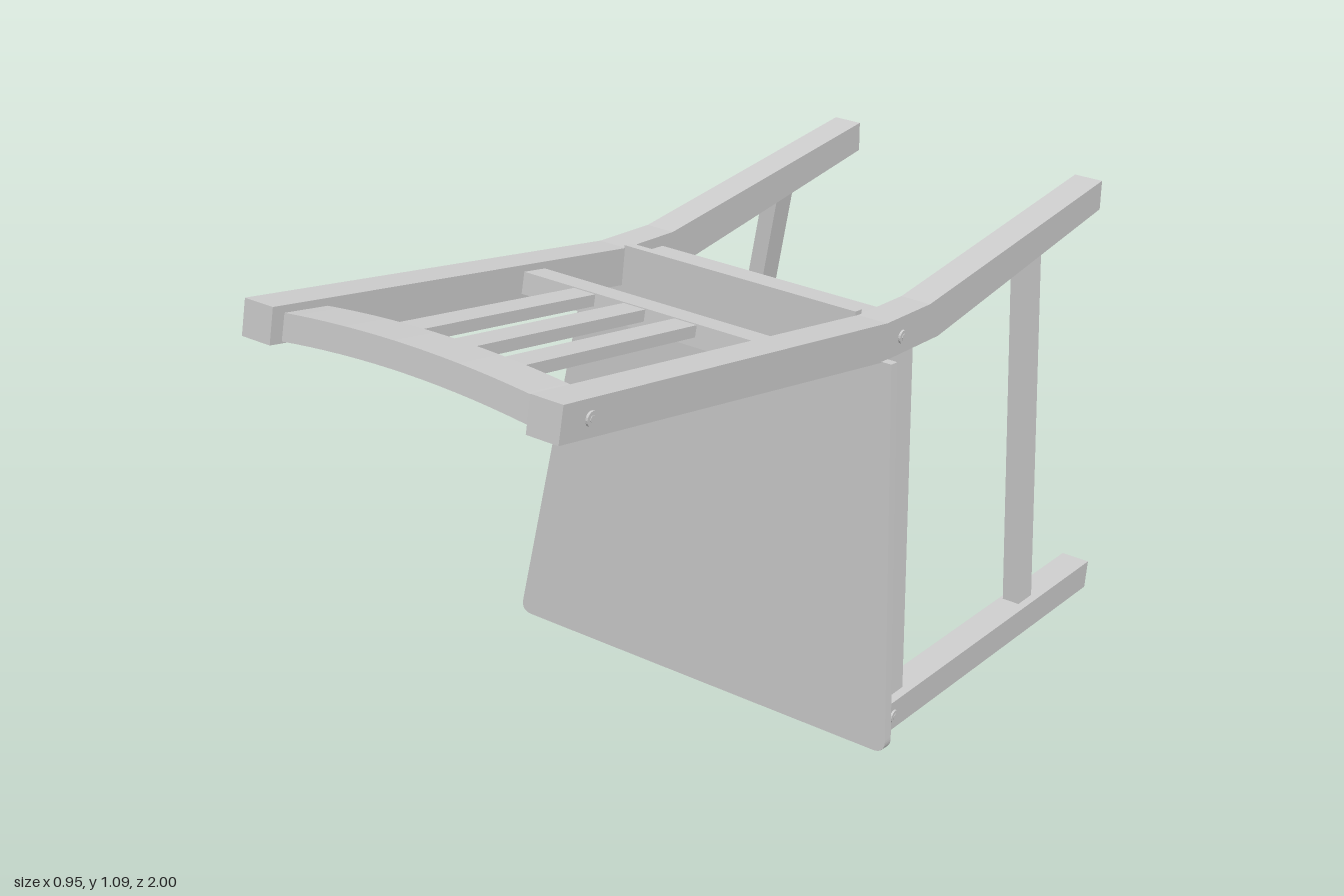
import * as THREE from 'three';

const mat = new THREE.MeshStandardMaterial({ color: 0xcccccc, flatShading: true });

function add(parent, name, geometry) {
  const m = new THREE.Mesh(geometry, mat);
  m.name = name;
  parent.add(m);
  return m;
}

function box(parent, name, size, pos) {
  const m = add(parent, name, new THREE.BoxGeometry(...size));
  m.position.set(...pos);
  return m;
}

// Straight bar from a to b; h is measured along the up vector
function beam(parent, name, a, b, w, h, up = [0, 1, 0]) {
  const p = new THREE.Vector3(...a), q = new THREE.Vector3(...b);
  const m = add(parent, name, new THREE.BoxGeometry(w, h, p.distanceTo(q)));
  const turn = new THREE.Matrix4().lookAt(q, p, new THREE.Vector3(...up));
  m.quaternion.setFromRotationMatrix(turn);
  m.position.copy(p).lerp(q, 0.5);
}

// Screw head: a socket-head disc on an outer side face
function screw(parent, side, x, y, z) {
  const m = add(parent, 'screw', new THREE.CylinderGeometry(0.014, 0.014, 0.008, 16));
  m.rotation.z = Math.PI / 2;
  m.position.set(side * x, y, z);
  const s = add(parent, 'screwSocket', new THREE.CylinderGeometry(0.007, 0.007, 0.01, 6));
  s.rotation.z = Math.PI / 2;
  s.position.copy(m.position);
}

export function createModel() {
  const root = new THREE.Group();
  root.name = 'chair';

  // The chair lies with its backrest along +z, rolled slightly about that axis
  const chair = new THREE.Group();
  chair.name = 'chairBody';
  chair.rotation.z = -0.0934;
  root.add(chair);

  // Bent rear posts: rear leg and backrest upright in one piece
  const post = new THREE.Shape([
    [0.997, 0.993], [0.99, 1.062], [-0.05, 0.948], [-0.22, 0.948],
    [-0.975, 1.063], [-0.985, 0.995], [-0.27, 0.868], [-0.04, 0.868],
  ].map(p => new THREE.Vector2(...p)));
  const postGeo = new THREE.ExtrudeGeometry(post, { depth: 0.067, bevelEnabled: false });
  postGeo.translate(0, 0, -0.0335).rotateY(-Math.PI / 2);

  for (const s of [-1, 1]) {
    const side = s > 0 ? 'left' : 'right';
    add(chair, side + 'RearPost', postGeo).position.x = s * 0.318;
    beam(chair, side + 'FrontLeg', [s * 0.416, 0.097, -0.042], [s * 0.416, 0.111, -0.999], 0.067, 0.067);
    beam(chair, side + 'Stretcher', [s * 0.414, 0.11, -0.71], [s * 0.318, 0.985, -0.695], 0.04, 0.063, [0, 0, 1]);
    screw(chair, s, 0.352, 1.018, 0.915);
    screw(chair, s, 0.352, 0.905, -0.115);
    screw(chair, s, 0.45, 0.097, -0.09);
  }

  // Backrest: lower rail, slats and arched top rail
  box(chair, 'lowerBackRail', [0.57, 0.045, 0.067], [0, 0.945, 0.26]).rotation.x = -0.115;
  for (const i of [-1, 0, 1]) {
    const x = -0.014 + i * 0.12;
    beam(chair, 'backSlat', [x, 0.955, 0.27], [x, 1.017, 0.87], 0.052, 0.024);
  }
  const arch = new THREE.Shape();
  arch.moveTo(-0.29, -0.025);
  arch.quadraticCurveTo(0, 0.012, 0.29, -0.025);
  arch.lineTo(0.29, 0.027);
  arch.quadraticCurveTo(0, 0.06, -0.29, 0.027);
  const archGeo = new THREE.ExtrudeGeometry(arch, { depth: 0.11, bevelEnabled: false, curveSegments: 16 });
  archGeo.translate(0, 0, -0.055);
  const topRail = add(chair, 'topBackRail', archGeo);
  topRail.position.set(0, 1.011, 0.91);
  topRail.rotation.x = -0.115;

  // Seat unit, leaning slightly toward the rear
  const unit = new THREE.Group();
  unit.name = 'seatUnit';
  unit.position.z = -0.017;
  unit.rotation.x = -0.031;
  chair.add(unit);

  // Seat board: tapered, rounded front corners, tongue between the posts
  const seat = new THREE.Shape();
  seat.moveTo(-0.45, 0.046);
  seat.lineTo(0.45, 0.046);
  seat.quadraticCurveTo(0.481, 0.046, 0.477, 0.076);
  seat.lineTo(0.377, 0.87);
  seat.lineTo(0.283, 0.87);
  seat.lineTo(0.283, 0.955);
  seat.lineTo(-0.283, 0.955);
  seat.lineTo(-0.283, 0.87);
  seat.lineTo(-0.38, 0.87);
  seat.lineTo(-0.477, 0.076);
  seat.quadraticCurveTo(-0.481, 0.046, -0.45, 0.046);
  const board = add(unit, 'seatBoard', new THREE.ExtrudeGeometry(seat, { depth: 0.024, bevelEnabled: false }));
  board.position.set(-0.003, 0, -0.024);

  // Aprons under the seat
  const az = -0.079, ah = 0.11;
  box(unit, 'frontApron', [0.78, 0.042, ah], [0, 0.1, az]);
  box(unit, 'rearApron', [0.58, 0.042, ah + 0.01], [0, 0.908, az]);
  for (const s of [-1, 1]) {
    beam(unit, 'sideApron', [s * 0.41, 0.11, az], [s * 0.322, 0.88, az], 0.045, ah, [0, 0, 1]);
    // Angle brackets joining the aprons to the seat
    for (const [y, d] of [[0.121, 1], [0.887, -1]]) {
      const b = new THREE.Group();
      b.name = 'angleBracket';
      b.position.set(s * 0.22, y, -0.024);
      unit.add(b);
      box(b, 'bracketSeatPlate', [0.032, 0.04, 0.005], [0, d * 0.02, -0.0025]);
      box(b, 'bracketApronPlate', [0.032, 0.005, 0.04], [0, d * 0.0025, -0.02]);
      const pin = add(b, 'bracketScrew', new THREE.CylinderGeometry(0.007, 0.007, 0.006, 10));
      pin.position.set(0, d * 0.007, -0.026);
    }
  }
  return root;
}
